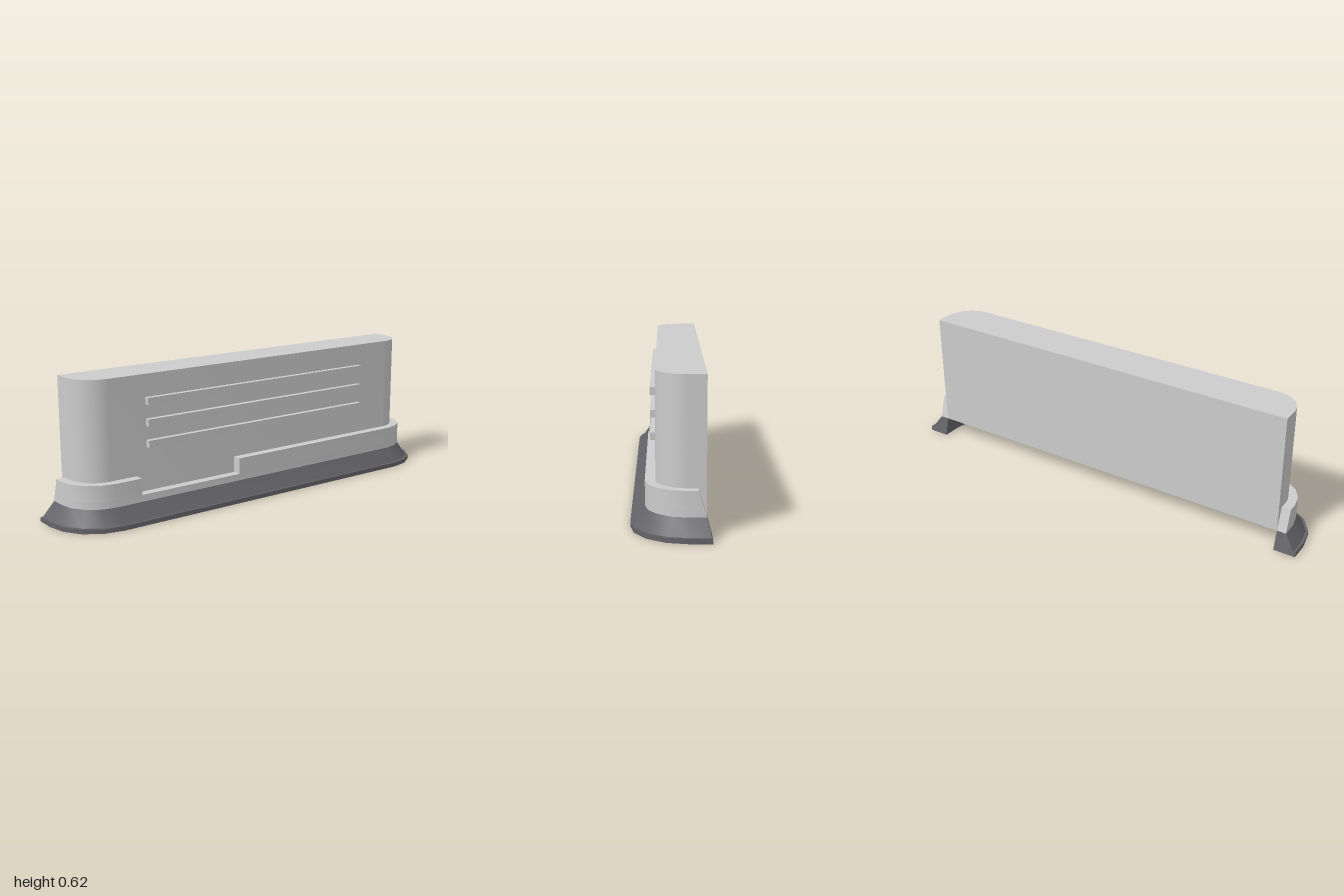
import * as THREE from 'three';
import { toCreasedNormals } from 'three/addons/utils/BufferGeometryUtils.js';

const CX = 0.773, CZ = -0.067, R = 0.127; // corner centre and body corner radius
const BACK = -0.135, BASE = 0.085;

// Back edge of the rim leans forward as it rises
const endZ = (y) => (y < BASE ? -0.157 + (y / BASE) * 0.022 : BACK + ((y - BASE) / 0.102) * 0.03);

// Stations along one side of the U-shaped path, from the back end to the front
function sideStations(s) {
  const list = [(r, y) => [s * (CX + r), y, endZ(y)]];
  for (let i = 0; i <= 4; i++) {
    const a = (i / 4) * Math.PI / 2;
    list.push((r, y) => [s * (CX + r * Math.cos(a)), y, CZ + r * Math.sin(a)]);
  }
  return list;
}
const frontStation = (x) => (r, y) => [x, y, CZ + r];

// Sweep a closed [radius, height] profile through the stations, with end caps
function sweep(profile, stations) {
  const pos = [];
  const rings = stations.map((f) => profile.map(([r, y]) => f(r, y)));
  const tri = (a, b, c) => pos.push(...a, ...b, ...c);
  const n = profile.length;
  for (let i = 0; i < rings.length - 1; i++) {
    for (let j = 0; j < n; j++) {
      const k = (j + 1) % n;
      tri(rings[i][j], rings[i][k], rings[i + 1][k]);
      tri(rings[i][j], rings[i + 1][k], rings[i + 1][j]);
    }
  }
  const first = rings[0], last = rings[rings.length - 1];
  for (let j = 1; j < n - 1; j++) {
    tri(first[0], first[j + 1], first[j]);
    tri(last[0], last[j], last[j + 1]);
  }
  const geo = new THREE.BufferGeometry();
  geo.setAttribute('position', new THREE.Float32BufferAttribute(pos, 3));
  return toCreasedNormals(geo, 0.6);
}

export function createModel() {
  const group = new THREE.Group();
  const grey = new THREE.MeshStandardMaterial({ color: 0xcccccc });
  const dark = new THREE.MeshStandardMaterial({ color: 0x646469 });
  const add = (name, geo, mat = grey) => {
    const mesh = new THREE.Mesh(geo, mat);
    mesh.name = name;
    group.add(mesh);
    return mesh;
  };

  // Upright body: flat back, rounded front corners
  const shape = new THREE.Shape();
  shape.moveTo(CX + R, -BACK);
  shape.lineTo(-CX - R, -BACK);
  shape.absarc(-CX, -CZ, R, Math.PI, Math.PI * 1.5, false);
  shape.absarc(CX, -CZ, R, Math.PI * 1.5, Math.PI * 2, false);
  const body = new THREE.ExtrudeGeometry(shape, { depth: 0.62 - BASE, bevelEnabled: false, curveSegments: 8 });
  body.rotateX(-Math.PI / 2).translate(0, BASE, 0);
  add('body', toCreasedNormals(body, 0.6));

  // Flared skirt with a thin foot band
  const left = sideStations(1), right = sideStations(-1).reverse();
  const full = [...left, ...right];
  add('skirt', sweep([[R, 0], [0.225, 0], [0.225, 0.02], [0.214, 0.02], [0.168, BASE], [R, BASE]], full), dark);

  // Collar: low ring, then two raised pieces leaving a notch
  const band = (y0, y1) => [[R, y0], [0.168, y0], [0.168, y1], [R, y1]];
  add('collarBase', sweep(band(BASE, 0.115), full));
  add('collarLeft', sweep(band(0.115, 0.187), [...left, frontStation(-0.145)]));
  add('collarRight', sweep(band(0.115, 0.187), [frontStation(-0.65), ...right]));

  // Horizontal slats on the front
  for (let i = 0; i < 3; i++) {
    add('slat' + (i + 1), new THREE.BoxGeometry(1.2, 0.031, 0.023)).position.set(0, 0.322 + i * 0.092, 0.0715);
  }
  return group;
}
